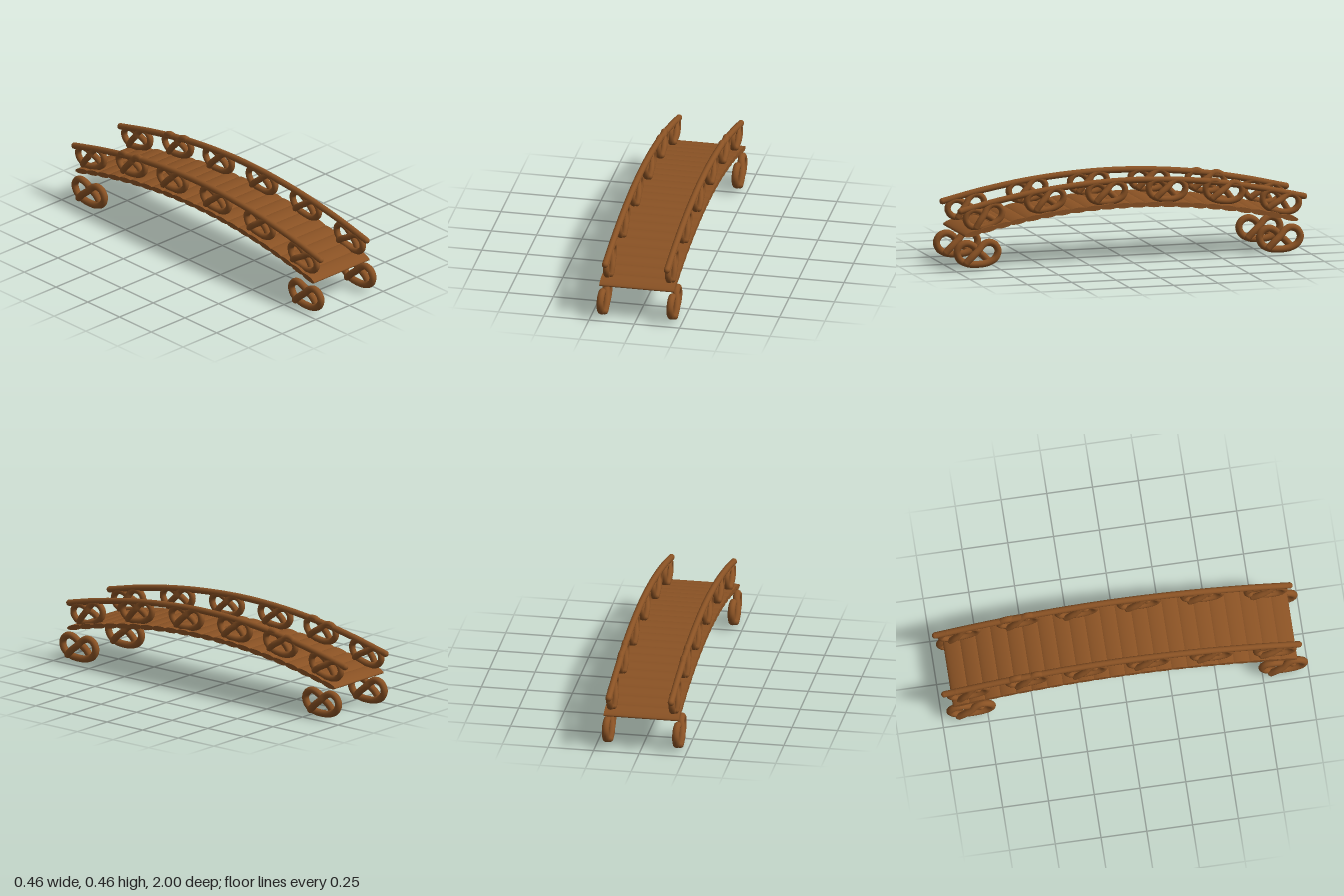
import * as THREE from 'three';

export function createModel() {
  const model = new THREE.Group();
  model.name = 'pretzelBridge';
  const crust = new THREE.MeshStandardMaterial({ color: 0x8a5224 });
  crust.name = 'baked brown';

  const add = (parent, geometry, name) => {
    const mesh = new THREE.Mesh(geometry, crust);
    mesh.name = name;
    parent.add(mesh);
    return mesh;
  };

  // Round strand with domed ends
  const strand = (parent, points, radius, segments, name) => {
    const curve = new THREE.CatmullRomCurve3(points);
    add(parent, new THREE.TubeGeometry(curve, segments, radius, 12), name);
    for (const end of [points[0], points[points.length - 1]]) {
      add(parent, new THREE.SphereGeometry(radius, 12, 8), name + 'End').position.copy(end);
    }
  };

  // Half of the pretzel as [along, up, sideways]: free end, crossing, lobe, bow
  const half = [
    [0.068, -0.047, 0.016], [0.036, -0.014, 0.019], [0, 0.017, 0.013], [-0.027, 0.045, 0.004],
    [-0.06, 0.059, 0], [-0.097, 0.047, 0], [-0.116, 0.012, 0], [-0.1, -0.029, 0], [-0.055, -0.053, 0],
  ];
  const pretzelPoints = [
    ...half.map(([u, v, d]) => new THREE.Vector3(d, v, u)),
    new THREE.Vector3(0, -0.059, 0),
    ...half.slice().reverse().map(([u, v, d]) => new THREE.Vector3(-d, v, -u)),
  ];
  const pretzel = (name, x, y, z, scale, tilt) => {
    const group = new THREE.Group();
    group.name = name;
    strand(group, pretzelPoints, 0.0195, 96, 'pretzelStrand');
    group.position.set(x, y, z);
    group.scale.setScalar(scale);
    group.rotation.x = tilt;
    model.add(group);
  };

  // Arched deck of overlapping lens-shaped planks
  const deckCurve = 0.142;
  const plankCount = 22;
  const plankGeometry = new THREE.CylinderGeometry(1, 1, 0.412, 24).rotateZ(Math.PI / 2);
  plankGeometry.scale(1, 0.0145, 0.052);
  for (let i = 0; i < plankCount; i++) {
    const z = -0.89 + (1.78 * i) / (plankCount - 1);
    const plank = add(model, plankGeometry, 'plank');
    plank.position.set(0, 0.309 - deckCurve * z * z, z);
    plank.rotation.x = Math.atan(2 * deckCurve * z);
  }

  // Handrails, baluster pretzels and foot pretzels on both sides
  const railPath = [
    [0.953, 0.317], [0.73, 0.367], [0.4, 0.418], [0, 0.441], [-0.4, 0.418], [-0.73, 0.364], [-0.983, 0.306],
  ];
  const balusters = [
    [0.82, 0.281], [0.475, 0.355], [0.13, 0.38], [-0.21, 0.38], [-0.53, 0.355], [-0.85, 0.283],
  ];
  for (const side of [-1, 1]) {
    const x = side * 0.171;
    strand(model, railPath.map(([z, y]) => new THREE.Vector3(x, y, z)), 0.0175, 64, 'handrail');
    for (const [z, y] of balusters) {
      pretzel('balusterPretzel', x, y, z, 0.9, Math.atan(0.27 * z));
    }
    const footY = side < 0 ? 0.079 : 0.085;
    pretzel('footPretzel', side * 0.193, footY, 0.865, 1, 0);
    pretzel('footPretzel', side * 0.193, footY, -0.84, 1, 0);
  }

  return model;
}
